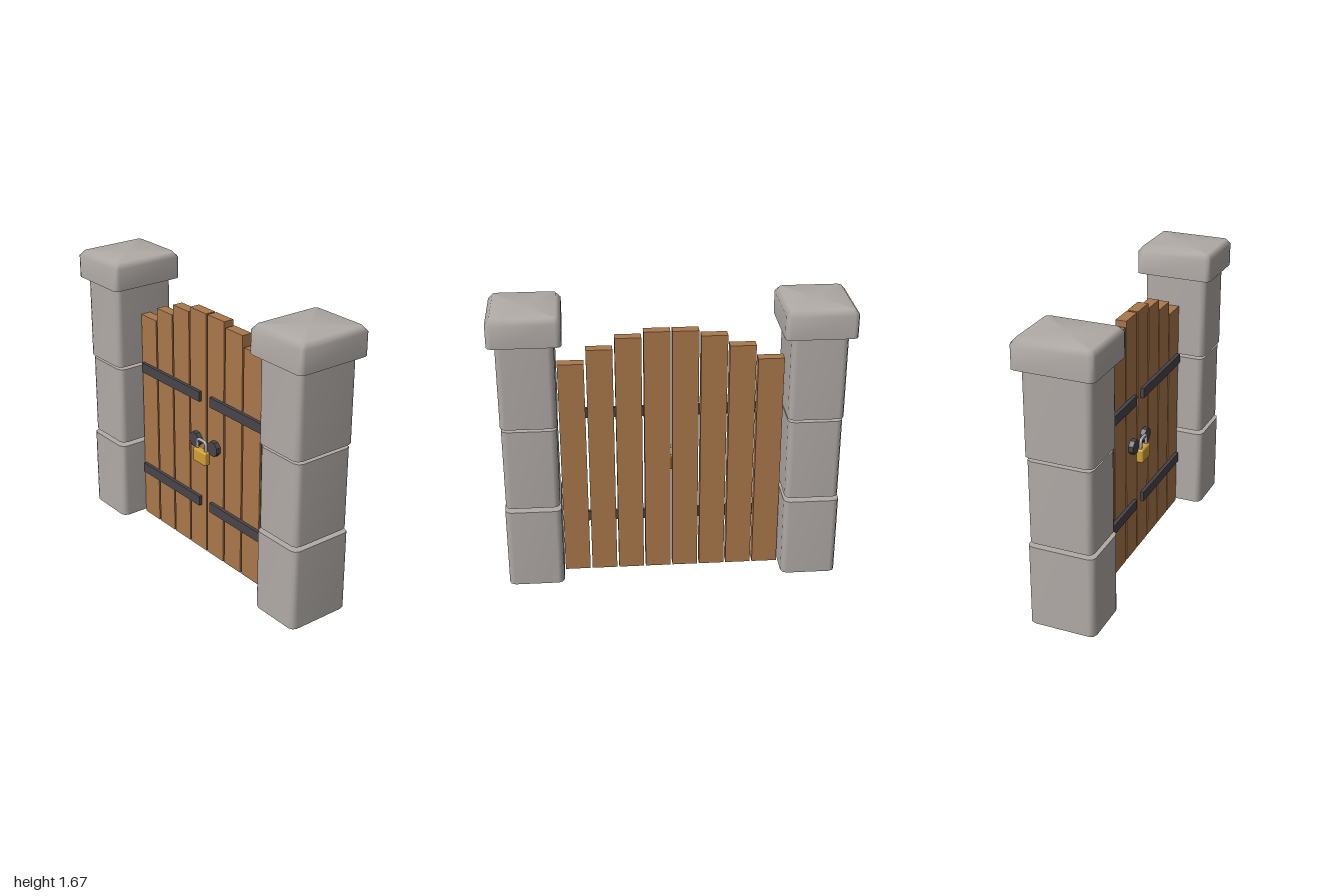
import * as THREE from 'three';
import { RoundedBoxGeometry } from 'three/addons/geometries/RoundedBoxGeometry.js';

const material = (name, color) => {
  const m = new THREE.MeshStandardMaterial({ color });
  m.name = name;
  return m;
};

// Rectangle outline with rounded corners in the xz plane
function outline(w, d, r, y) {
  const pts = [];
  const corners = [[1, 1], [-1, 1], [-1, -1], [1, -1]];
  corners.forEach(([sx, sz], q) => {
    for (let k = 0; k <= 2; k++) {
      const a = (q + k / 2) * Math.PI / 2;
      pts.push([sx * (w / 2 - r) + r * Math.cos(a), y, sz * (d / 2 - r) + r * Math.sin(a)]);
    }
  });
  return pts;
}

// Stone made of stacked outlines; softTop shares normals between sides and top
function stoneGeometry(rings, softTop) {
  const pos = [], index = [], n = rings[0].length;
  const addRing = (ring) => {
    const start = pos.length / 3;
    ring.forEach((p) => pos.push(...p));
    return start;
  };
  const starts = rings.map(addRing);
  for (let j = 0; j + 1 < rings.length; j++) {
    for (let i = 0; i < n; i++) {
      const k = (i + 1) % n, a = starts[j], b = starts[j + 1];
      index.push(a + i, b + i, a + k, a + k, b + i, b + k);
    }
  }
  const addLid = (ring, start, up) => {
    const c = pos.length / 3;
    pos.push(0, ring[0][1], 0);
    for (let i = 0; i < n; i++) {
      const k = (i + 1) % n;
      index.push(c, start + (up ? k : i), start + (up ? i : k));
    }
  };
  const last = rings.length - 1;
  addLid(rings[last], softTop ? starts[last] : addRing(rings[last]), true);
  addLid(rings[0], addRing(rings[0]), false);
  const g = new THREE.BufferGeometry();
  g.setAttribute('position', new THREE.Float32BufferAttribute(pos, 3));
  g.setIndex(index);
  g.computeVertexNormals();
  return g;
}

export function createModel() {
  const model = new THREE.Group();
  model.name = 'gate';
  const stone = material('stone', 0xb1aba7);
  const wood = material('wood', 0xaa784b);
  const iron = material('dark iron', 0x48454a);
  const brass = material('brass', 0xd0a035);
  const steel = material('steel', 0xa9a9ae);

  const add = (parent, name, geometry, mat, x, y, z) => {
    const mesh = new THREE.Mesh(geometry, mat);
    mesh.name = name;
    mesh.position.set(x, y, z);
    parent.add(mesh);
    return mesh;
  };

  // Pillar stones: bottom, top, width, depth
  const blocks = [
    [0.012, 0.492, 0.32, 0.388],
    [0.515, 0.997, 0.308, 0.37],
    [1.016, 1.5, 0.316, 0.388],
  ];
  const blockGeometries = blocks.map(([y0, y1, w, d]) =>
    stoneGeometry([outline(w, d, 0.035, y0), outline(w, d, 0.035, y1)], false));
  const capGeometry = stoneGeometry([
    outline(0.4, 0.46, 0.03, 1.51),
    outline(0.4, 0.46, 0.03, 1.64),
    outline(0.35, 0.41, 0.02, 1.67),
  ], true);

  for (const side of [-1, 1]) {
    const label = side > 0 ? 'left' : 'right';

    const pillar = new THREE.Group();
    pillar.name = label + 'Pillar';
    pillar.position.x = side * 0.8;
    model.add(pillar);
    blockGeometries.forEach((g, i) => add(pillar, 'pillarBlock' + (i + 1), g, stone, 0, 0, 0));
    add(pillar, 'pillarCap', capGeometry, stone, 0, 0, 0);

    // Door leaf: planks stepping down towards the pillar
    const door = new THREE.Group();
    door.name = label + 'Door';
    model.add(door);
    [1.505, 1.473, 1.408, 1.326].forEach((h, i) => {
      add(door, 'plank' + (i + 1), new THREE.BoxGeometry(0.148, h, 0.064), wood,
        side * (0.08 + i * 0.16), h / 2, 0);
    });

    // Iron straps across the front
    for (const y of [0.325, 0.998]) {
      add(door, 'strap', new THREE.BoxGeometry(0.564, 0.06, 0.024), iron, side * 0.331, y, 0.04);
    }

    // Eight-sided plate that holds the padlock
    const plate = new THREE.CylinderGeometry(0.046, 0.046, 0.03, 8).toNonIndexed();
    plate.rotateY(Math.PI / 8).rotateX(Math.PI / 2);
    plate.computeVertexNormals();
    add(door, 'lockPlate', plate, iron, side * 0.085, 0.72, 0.046);
  }

  // Padlock
  const padlock = new THREE.Group();
  padlock.name = 'padlock';
  model.add(padlock);
  add(padlock, 'lockBody', new RoundedBoxGeometry(0.116, 0.086, 0.044, 2, 0.012), brass, 0, 0.648, 0.07);

  // Square-shouldered shackle
  const path = new THREE.CurvePath();
  const corners = [[-0.039, 0.68], [-0.039, 0.735], [-0.028, 0.748], [0.028, 0.748], [0.039, 0.735], [0.039, 0.68]]
    .map(([x, y]) => new THREE.Vector3(x, y, 0.07));
  for (let i = 0; i + 1 < corners.length; i++) path.add(new THREE.LineCurve3(corners[i], corners[i + 1]));
  add(padlock, 'shackle', new THREE.TubeGeometry(path, 32, 0.0095, 8, false), steel, 0, 0, 0);

  return model;
}
